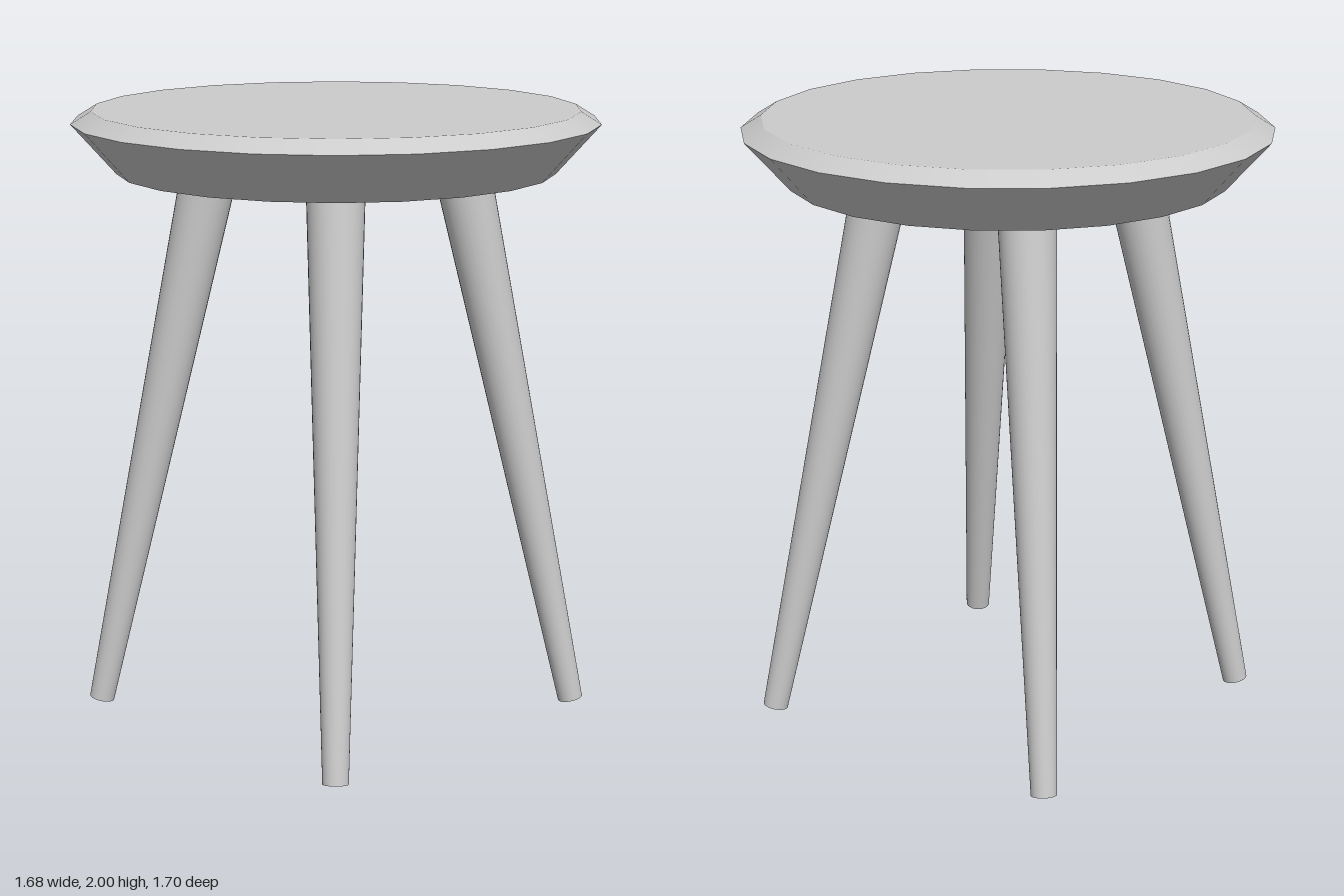
import * as THREE from 'three';

const SIDES = 22;

export function createModel() {
  const group = new THREE.Group();
  const material = new THREE.MeshStandardMaterial({ color: 0xcccccc });
  const add = (parent, name, geometry) => {
    const mesh = new THREE.Mesh(geometry, material);
    mesh.name = name;
    parent.add(mesh);
    return mesh;
  };

  // Seat: undercut side, narrow top bevel and two flat discs
  const seat = new THREE.Group();
  seat.name = 'seat';
  group.add(seat);
  const band = (name, r0, y0, r1, y1) => {
    const g = new THREE.CylinderGeometry(r1, r0, y1 - y0, SIDES, 1, true);
    add(seat, name, g.translate(0, (y0 + y1) / 2, 0));
  };
  const disc = (name, r, y, tilt) => {
    const g = new THREE.CircleGeometry(r, SIDES, Math.PI / 2);
    add(seat, name, g.rotateX(tilt).translate(0, y, 0));
  };
  band('seatUnderside', 0.705, 1.8, 0.848, 1.96);
  band('seatBevel', 0.848, 1.96, 0.783, 2);
  disc('seatTop', 0.783, 2, -Math.PI / 2);
  disc('seatBottom', 0.705, 1.8, Math.PI / 2);

  // Four tapered legs splayed outward, their tops sunk into the seat
  const foot = new THREE.Vector3(0.79, 0.009, 0);
  const top = new THREE.Vector3(0.397, 1.84, 0);
  const axis = top.clone().sub(foot);
  const legGeometry = new THREE.CylinderGeometry(0.093, 0.041, axis.length(), 32);
  legGeometry.applyQuaternion(
    new THREE.Quaternion().setFromUnitVectors(new THREE.Vector3(0, 1, 0), axis.clone().normalize())
  );
  const middle = foot.clone().add(top).multiplyScalar(0.5);
  legGeometry.translate(middle.x, middle.y, middle.z);
  ['leftLeg', 'backLeg', 'rightLeg', 'frontLeg'].forEach((name, i) => {
    add(group, name, legGeometry).rotation.y = (i * Math.PI) / 2;
  });

  return group;
}
